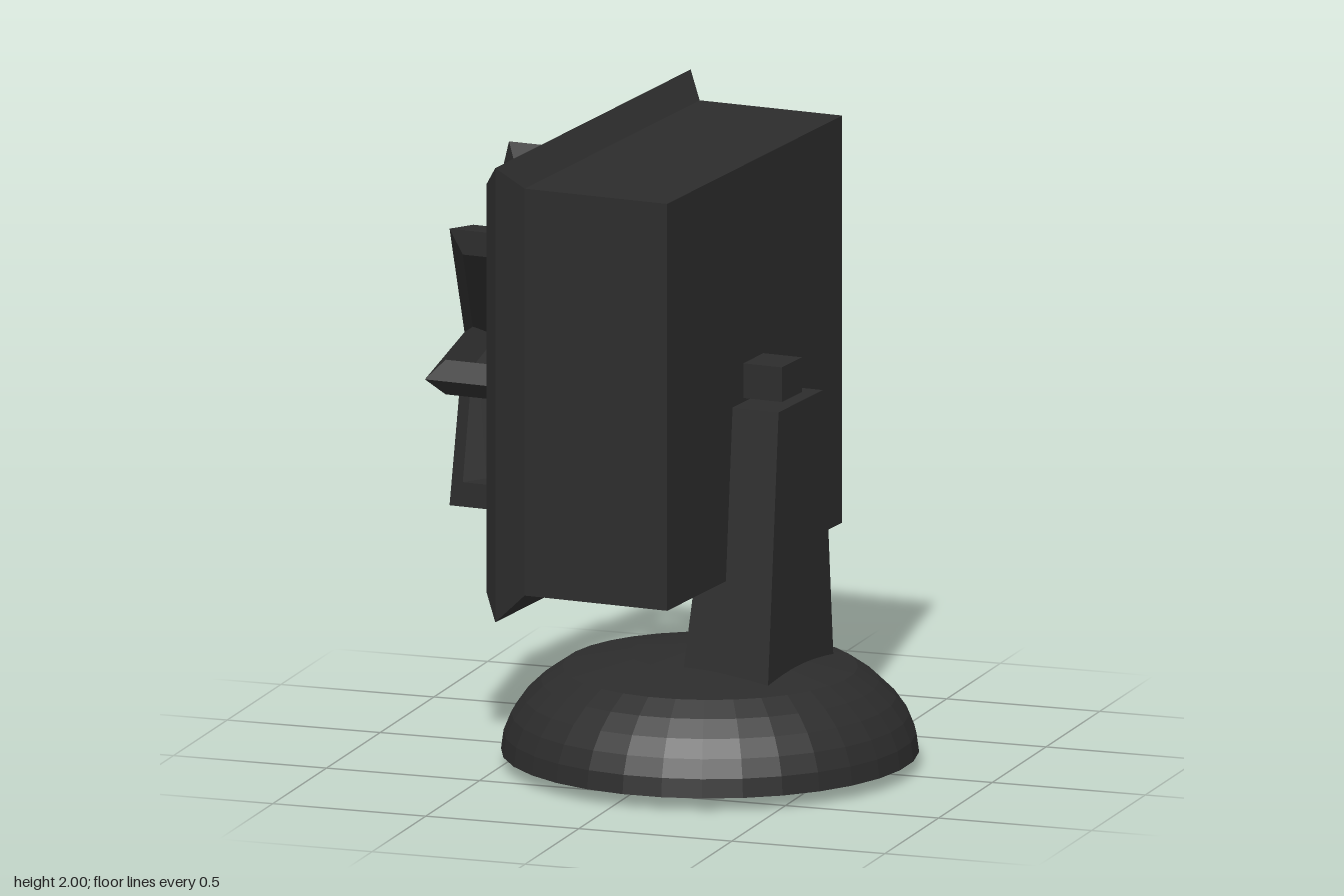
import * as THREE from 'three';

const dark = new THREE.MeshStandardMaterial({ color: 0x2c2c2c, flatShading: true });
const CENTER_Y = 1.28;

function part(name, geometry, parent) {
  const mesh = new THREE.Mesh(geometry, dark);
  mesh.name = name;
  parent.add(mesh);
  return mesh;
}

// Square ring or shell swept around the fan axis (x) from [half width, x] points
function squareSweep(points) {
  const profile = points.map(([h, x]) => new THREE.Vector2(h * Math.SQRT2, x));
  return new THREE.LatheGeometry(profile, 4, Math.PI / 4).toNonIndexed().rotateZ(-Math.PI / 2);
}

// Bent bar with a diamond section, from the nose over the elbow to the back wall
function guardSpoke() {
  const t = 0.055;
  const stations = [ // outer edge, middle, inner edge as [x, radius]
    [[-0.741, 0], [-0.685, 0], [-0.63, 0]],
    [[-0.59, 0.62], [-0.545, 0.565], [-0.5, 0.51]],
    [[0.21, 0.62], [0.21, 0.565], [0.21, 0.51]],
  ];
  const position = [], index = [];
  for (const [o, m, i] of stations) position.push(...o, 0, ...m, t, ...i, 0, ...m, -t);
  for (let s = 0; s < 2; s++) {
    for (let k = 0; k < 4; k++) {
      const a = s * 4 + k, b = s * 4 + (k + 1) % 4;
      index.push(a, b, a + 4, b, b + 4, a + 4);
    }
  }
  const g = new THREE.BufferGeometry();
  g.setAttribute('position', new THREE.Float32BufferAttribute(position, 3));
  g.setIndex(index);
  const flat = g.toNonIndexed();
  flat.computeVertexNormals();
  return flat;
}

export function createModel() {
  const model = new THREE.Group();
  model.name = 'deskFan';
  const fan = new THREE.Group();
  fan.name = 'fan';
  fan.rotation.y = -0.094;
  fan.position.set(-0.002, 0, 0.026);
  model.add(fan);

  // Domed base with a nearly flat underside
  const profile = [new THREE.Vector2(0, 0), new THREE.Vector2(0.4, 0.012)];
  for (let i = 0; i <= 5; i++) {
    const a = (i / 5) * Math.PI / 4;
    profile.push(new THREE.Vector2(0.645 * Math.cos(a), 0.042 + 0.378 * Math.sin(a)));
  }
  profile.push(new THREE.Vector2(0.25, 0.352), new THREE.Vector2(0, 0.38));
  part('base', new THREE.LatheGeometry(profile, 32), fan).position.set(0.098, 0, 0.012);

  // Tapered stand, upright at the back
  const stand = new THREE.BoxGeometry(1, 1, 1);
  const p = stand.attributes.position;
  for (let i = 0; i < p.count; i++) {
    const top = p.getY(i) > 0;
    const front = top ? 0.19 : 0.1;
    p.setXYZ(i, p.getX(i) > 0 ? 0.4 : front, top ? 1.175 : 0.22,
      Math.sign(p.getZ(i)) * (top ? 0.163 : 0.25));
  }
  stand.computeVertexNormals();
  part('stand', stand, fan);

  // Switch block above the stand
  part('switchBlock', new THREE.BoxGeometry(0.17, 0.11, 0.148), fan).position.set(0.29, 1.243, 0.01);

  const head = new THREE.Group();
  head.name = 'head';
  head.position.y = CENTER_Y;
  fan.add(head);

  // Square housing, open at the front
  part('housing', squareSweep([
    [0, 0.2], [0.6, 0.2], [0.6, -0.305], [0.645, -0.305], [0.645, 0.244], [0, 0.244],
  ]), head);

  // Bevelled rim
  part('rim', squareSweep([
    [0.57, -0.305], [0.645, -0.37], [0.72, -0.305], [0.645, -0.24], [0.57, -0.305],
  ]), head);

  // Guard of eight bent spokes
  const guard = new THREE.Group();
  guard.name = 'guard';
  head.add(guard);
  const spoke = guardSpoke();
  for (let i = 0; i < 8; i++) part('guardSpoke', spoke, guard).rotation.x = i * Math.PI / 4;

  // Hub and pitched blades inside the housing
  const rotor = new THREE.Group();
  rotor.name = 'rotor';
  head.add(rotor);
  const hub = part('hub', new THREE.CylinderGeometry(0.1, 0.1, 0.32, 8), rotor);
  hub.rotation.z = Math.PI / 2;
  hub.position.x = 0.05;
  for (let i = 0; i < 4; i++) {
    const blade = new THREE.BoxGeometry(0.03, 0.4, 0.24).rotateY(0.5).translate(0, 0.27, 0);
    part('blade', blade, rotor).rotation.x = i * Math.PI / 2 + Math.PI / 4;
  }
  return model;
}
